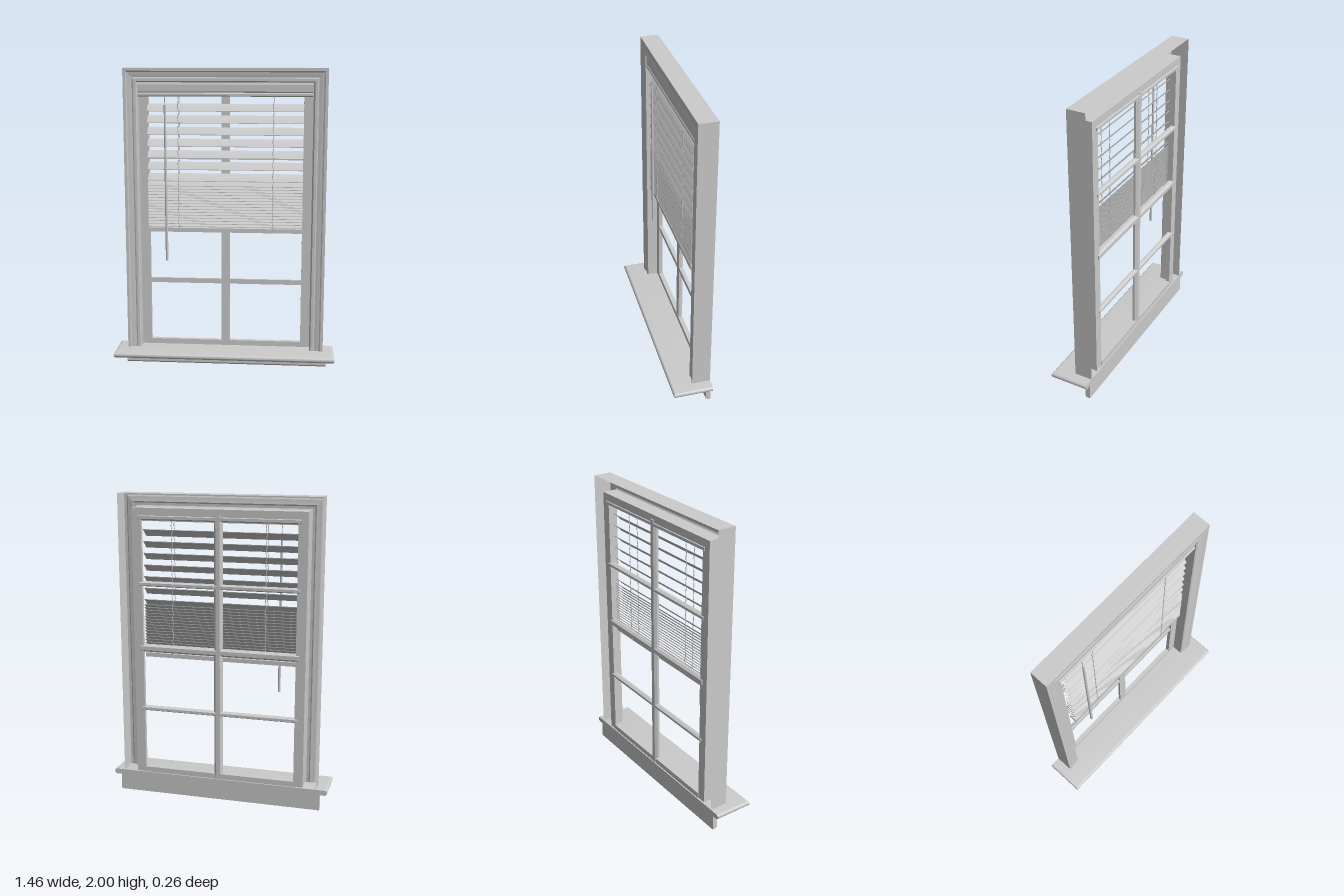
import * as THREE from 'three';
import { toCreasedNormals } from 'three/addons/utils/BufferGeometryUtils.js';

const grey = new THREE.MeshStandardMaterial({ color: 0xcccccc });
const thin = new THREE.MeshStandardMaterial({ color: 0xcccccc, side: THREE.DoubleSide });

function add(parent, name, geometry, material = grey) {
  const mesh = new THREE.Mesh(geometry, material);
  mesh.name = name;
  parent.add(mesh);
  return mesh;
}

// Box given by its limits on each axis
function box(parent, name, x0, x1, y0, y1, z0, z1) {
  const mesh = add(parent, name, new THREE.BoxGeometry(x1 - x0, y1 - y0, z1 - z0));
  mesh.position.set((x0 + x1) / 2, (y0 + y1) / 2, (z0 + z1) / 2);
  return mesh;
}

// Profile of (z, y) points extruded along x, centred on x = 0
function alongX(points, length) {
  const shape = new THREE.Shape(points.map(([z, y]) => new THREE.Vector2(-z, y)));
  const g = new THREE.ExtrudeGeometry(shape, { depth: length, bevelEnabled: false });
  return g.translate(0, 0, -length / 2).rotateY(Math.PI / 2);
}

// Moulded surround: an open-backed profile swept up, across and down with mitred corners
function casingGeometry() {
  const W = 0.655, TOP = 2, BASE = 0.14;
  // [distance in from the outer edge, z]
  const profile = [[0, -0.13], [0, -0.01], [0.018, -0.01], [0.026, -0.014], [0.042, -0.016],
    [0.058, -0.019], [0.066, -0.016], [0.082, -0.016], [0.09, -0.022], [0.09, -0.095]];
  const station = ([o, z]) => [
    [-W + o, BASE, z], [-W + o, TOP - o, z], [W - o, TOP - o, z], [W - o, BASE, z]];
  const pos = [];
  for (let i = 0; i < profile.length - 1; i++) {
    const a = station(profile[i]), b = station(profile[i + 1]);
    for (let k = 0; k < 3; k++) {
      pos.push(...a[k], ...b[k], ...b[k + 1], ...a[k], ...b[k + 1], ...a[k + 1]);
    }
  }
  const g = new THREE.BufferGeometry();
  g.setAttribute('position', new THREE.Float32BufferAttribute(pos, 3));
  g.computeVertexNormals();
  return g;
}

// Sill board with rounded nose and ends and a flat back
function sillGeometry() {
  const plan = new THREE.Shape([[-0.71, -0.13], [0.71, -0.13], [0.71, 0.112], [-0.71, 0.112]]
    .map(([x, z]) => new THREE.Vector2(x, z)));
  const g = new THREE.ExtrudeGeometry(plan, {
    depth: 0.001, bevelSize: 0.018, bevelThickness: 0.017, bevelSegments: 5 });
  g.rotateX(Math.PI / 2).translate(0, 0.123, 0);
  const p = g.attributes.position;
  for (let i = 0; i < p.count; i++) p.setZ(i, Math.max(p.getZ(i), -0.13));
  g.computeVertexNormals();
  return toCreasedNormals(g, 0.7);
}

// Glazing bar, chamfered towards the back
function barGeometry(width, length) {
  const h = width / 2;
  return alongX([[-0.094, -h], [-0.094, h], [-0.108, h], [-0.124, h * 0.5],
    [-0.124, -h * 0.5], [-0.108, -h]], length);
}

function buildSash() {
  const sash = new THREE.Group();
  sash.name = 'sash';
  for (const s of [-1, 1]) {
    const a = 0.505 * s, b = 0.567 * s;
    box(sash, 'stile', Math.min(a, b), Math.max(a, b), 0.14, 1.91, -0.118, -0.092);
  }
  box(sash, 'headJamb', -0.505, 0.505, 1.86, 1.91, -0.118, -0.092);
  box(sash, 'bottomRail', -0.505, 0.505, 0.14, 0.175, -0.122, -0.092);
  for (const [name, y, w] of [['lowerBar', 0.588, 0.032], ['meetingRail', 1.0, 0.05],
    ['upperBar', 1.425, 0.032], ['topRail', 1.85, 0.035]]) {
    add(sash, name, barGeometry(w, 1.05)).position.y = y;
  }
  const mullion = add(sash, 'centreBar', barGeometry(0.056, 1.74));
  mullion.rotation.z = Math.PI / 2;
  mullion.position.y = 1.01;
  return sash;
}

// Slightly bowed slat, front edge low and back edge high
function slatGeometry() {
  const n = 4, top = [], under = [];
  for (let i = 0; i <= n; i++) {
    const t = i / n;
    const z = -0.03 - 0.05 * t;
    const y = -0.022 + 0.044 * t + 0.005 * Math.sin(Math.PI * t);
    top.push([z, y + 0.002]);
    under.unshift([z, y - 0.002]);
  }
  return alongX([...top, ...under], 1.01);
}

function buildBlind() {
  const blind = new THREE.Group();
  blind.name = 'blind';

  // Valance with a beaded lower edge, and the rail behind it
  add(blind, 'valance', alongX([[-0.04, 1.82], [-0.03, 1.82], [-0.024, 1.826], [-0.024, 1.838],
    [-0.03, 1.845], [-0.026, 1.852], [-0.026, 1.895], [-0.03, 1.908], [-0.04, 1.908]], 1.125));
  box(blind, 'headRail', -0.55, 0.55, 1.825, 1.88, -0.085, -0.04);

  // Open slats above, gathered slats below
  const slat = slatGeometry();
  const heights = [];
  for (let i = 0; i < 7; i++) heights.push(1.748 - i * 0.0755);
  for (let i = 0; i < 15; i++) heights.push(1.262 - i * 0.0192);
  for (const y of heights) add(blind, 'slat', slat).position.y = y;
  box(blind, 'bottomBar', -0.505, 0.505, 0.935, 0.962, -0.08, -0.03);

  // Ladder cords in front of and behind the slats
  for (const x of [-0.302, 0.312]) {
    for (const z of [-0.027, -0.084]) {
      const pts = [];
      for (let i = 0; i <= 24; i++) {
        pts.push(new THREE.Vector3(x + (i % 2 ? 0.003 : -0.003), 0.935 + i * 0.0375, z));
      }
      add(blind, 'ladderCord',
        new THREE.TubeGeometry(new THREE.CatmullRomCurve3(pts), 72, 0.0025, 5));
    }
  }

  // Tilt wand hanging from a small hook
  const wand = add(blind, 'tiltWand', new THREE.CylinderGeometry(0.007, 0.009, 1.02, 8));
  wand.position.set(-0.384, 1.255, -0.018);
  wand.rotation.z = 0.003;
  const hook = add(blind, 'wandHook', new THREE.CylinderGeometry(0.003, 0.003, 0.08, 6));
  hook.position.set(-0.386, 1.79, -0.022);
  return blind;
}

export function createModel() {
  const model = new THREE.Group();
  model.name = 'window';
  add(model, 'casing', casingGeometry(), thin);
  add(model, 'sill', sillGeometry());
  add(model, 'apron', alongX([[-0.13, 0.0], [-0.105, 0.0], [-0.097, 0.01],
    [-0.097, 0.106], [-0.13, 0.106]], 1.36));
  model.add(buildSash(), buildBlind());
  return model;
}
